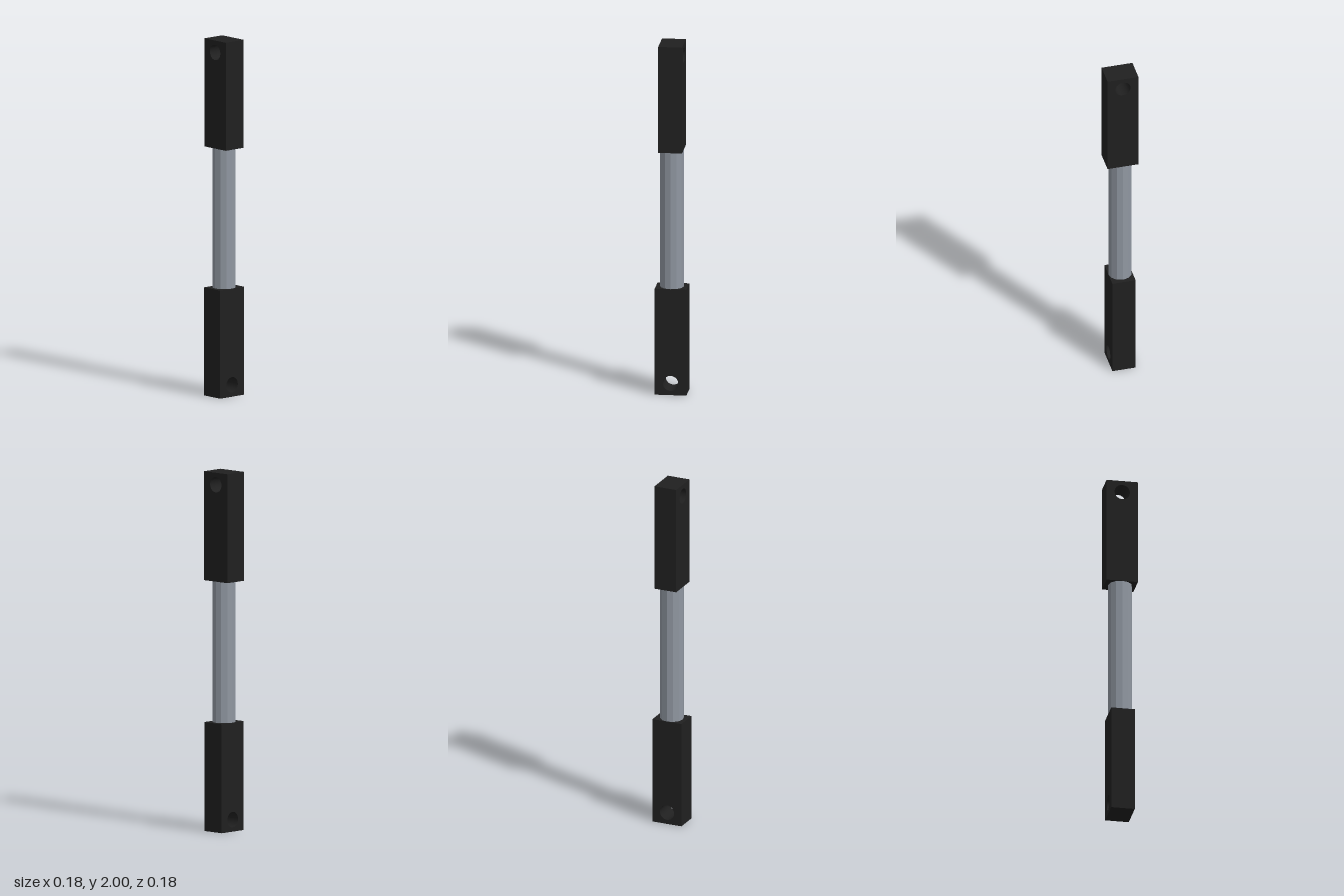
import * as THREE from 'three';

const HALF_WIDE = 0.088, HALF_THIN = 0.066, LENGTH = 0.607;
const HOLE_Y = 0.067, HOLE_R = 0.043;

// Rectangular end block with a round pin hole near its outer (y = 0) end
function endBlock(name, material) {
  const shape = new THREE.Shape([
    new THREE.Vector2(-HALF_WIDE, 0),
    new THREE.Vector2(HALF_WIDE, 0),
    new THREE.Vector2(HALF_WIDE, LENGTH),
    new THREE.Vector2(-HALF_WIDE, LENGTH),
  ]);
  const hole = new THREE.Path();
  hole.absarc(0, HOLE_Y, HOLE_R, 0, Math.PI * 2, true);
  shape.holes.push(hole);
  const geometry = new THREE.ExtrudeGeometry(shape, {
    depth: HALF_THIN * 2, bevelEnabled: false, curveSegments: 24,
  });
  geometry.translate(0, 0, -HALF_THIN);
  const mesh = new THREE.Mesh(geometry, material);
  mesh.name = name;
  return mesh;
}

export function createModel() {
  const group = new THREE.Group();
  group.name = 'linkRod';
  const black = new THREE.MeshStandardMaterial({ color: 0x202020, flatShading: true });
  const steel = new THREE.MeshStandardMaterial({ color: 0x9097a1, flatShading: true });

  // Lower block, pin hole running front to back
  group.add(endBlock('lowerEndBlock', black));

  // Upper block, turned over and a quarter turn about the rod
  const upper = endBlock('upperEndBlock', black);
  upper.rotation.set(Math.PI, Math.PI / 2, 0, 'YXZ');
  upper.position.y = 2;
  group.add(upper);

  // Faceted rod between the blocks
  const bottom = LENGTH - 0.01, top = 2 - LENGTH + 0.01;
  const rod = new THREE.Mesh(
    new THREE.CylinderGeometry(HALF_THIN, HALF_THIN, top - bottom, 12), steel);
  rod.name = 'rod';
  rod.position.y = (bottom + top) / 2;
  group.add(rod);

  return group;
}
